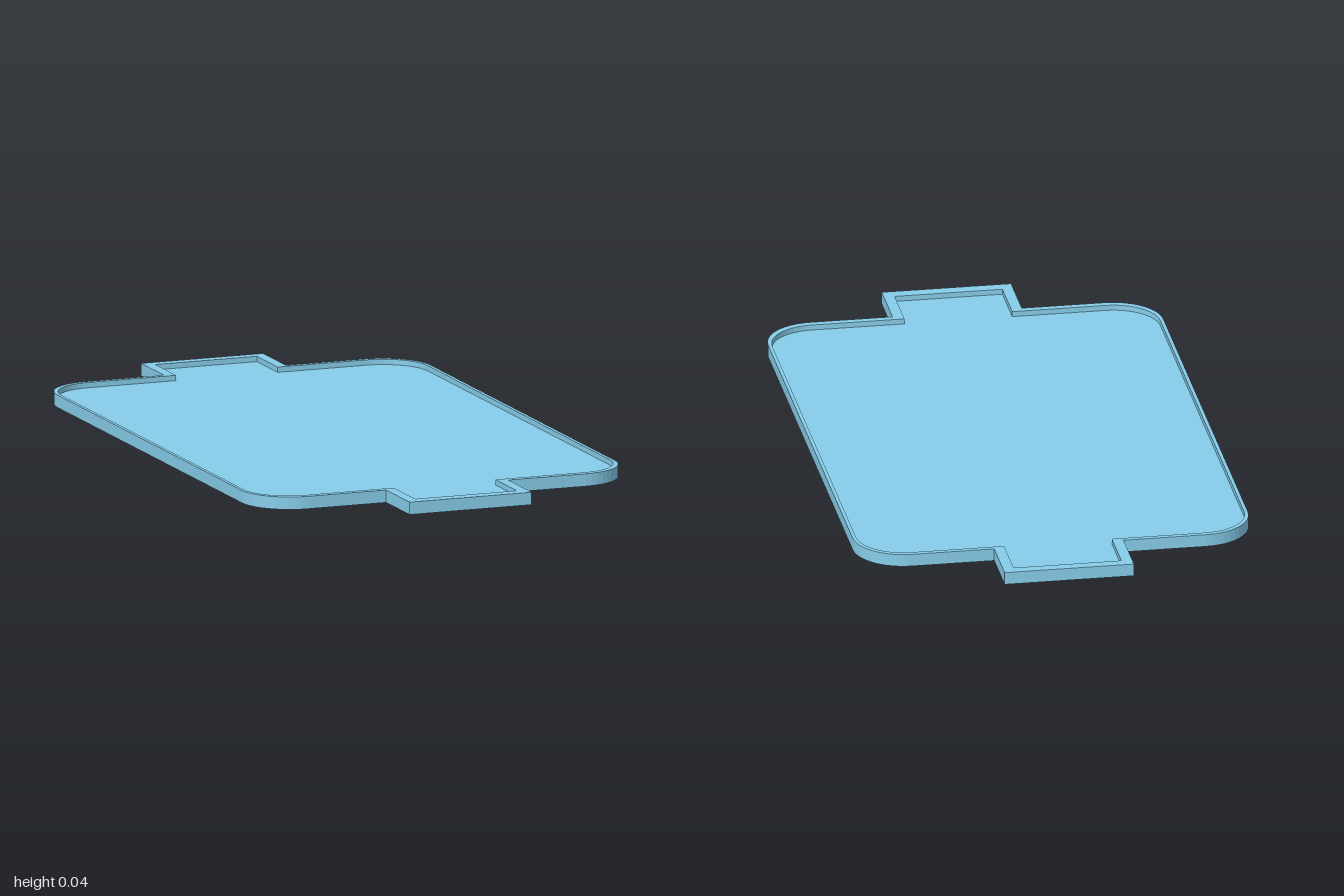
import * as THREE from 'three';

// Rounded rectangle, optionally with a square tab at each end (shape y = -z)
function outline(PathType, w, back, front, r, tabW = 0, tabBack = 0, tabFront = 0) {
  const p = new PathType();
  p.moveTo(w, -front + r);
  p.lineTo(w, back - r);
  p.absarc(w - r, back - r, r, 0, Math.PI / 2, false);
  if (tabW) {
    p.lineTo(tabW, back);
    p.lineTo(tabW, tabBack);
    p.lineTo(-tabW, tabBack);
    p.lineTo(-tabW, back);
  }
  p.absarc(-w + r, back - r, r, Math.PI / 2, Math.PI, false);
  p.absarc(-w + r, -front + r, r, Math.PI, Math.PI * 1.5, false);
  if (tabW) {
    p.lineTo(-tabW, -front);
    p.lineTo(-tabW, -tabFront);
    p.lineTo(tabW, -tabFront);
    p.lineTo(tabW, -front);
  }
  p.absarc(w - r, -front + r, r, Math.PI * 1.5, Math.PI * 2, false);
  return p;
}

export function createModel() {
  const group = new THREE.Group();
  group.name = 'tray';
  const material = new THREE.MeshStandardMaterial({ color: 0x87ceeb, flatShading: true });

  // One horizontal layer of the tray between two heights
  function layer(name, y0, y1, hole) {
    const shape = outline(THREE.Shape, 0.55, 0.83, 0.825, 0.14, 0.18, 1, 1);
    if (hole) shape.holes.push(hole);
    const geo = new THREE.ExtrudeGeometry(shape, { depth: y1 - y0, bevelEnabled: false, curveSegments: 6 });
    geo.rotateX(-Math.PI / 2);
    const mesh = new THREE.Mesh(geo, material);
    mesh.position.y = y0;
    mesh.name = name;
    group.add(mesh);
  }

  // Underside lip around a shallow recess, solid floor, raised rim following the tabs
  layer('baseLip', 0, 0.01, outline(THREE.Path, 0.54, 0.815, 0.805, 0.13));
  layer('floor', 0.01, 0.02);
  layer('rim', 0.02, 0.035, outline(THREE.Path, 0.54, 0.815, 0.805, 0.13, 0.15, 0.97, 0.965));
  return group;
}
